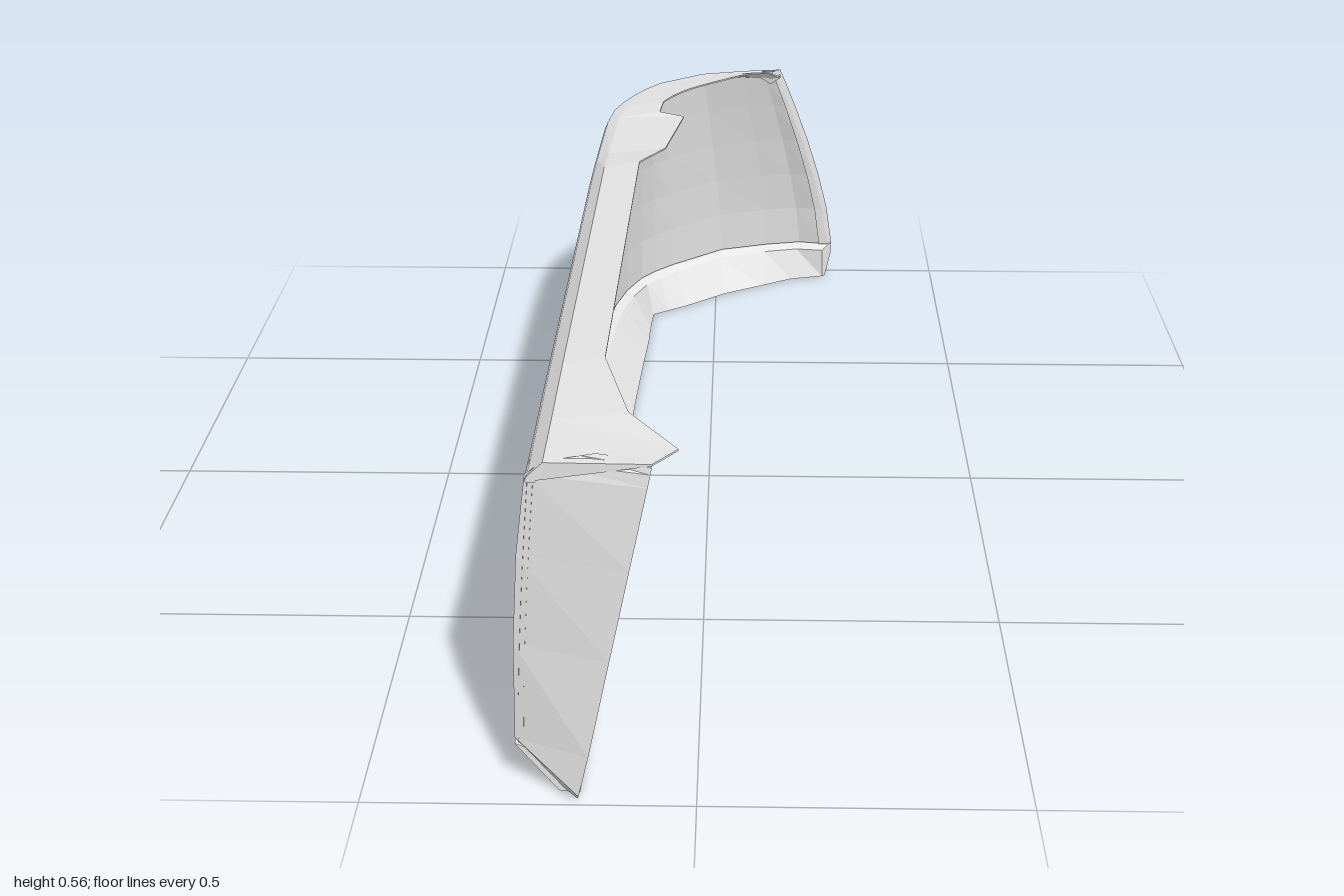
import * as THREE from 'three';

const BELT = 0.078, ROOF = 0.53;
const CORNER = new THREE.Vector2(-0.205, -0.81);

// Plan stations from front to rear: belt x,z | roof edge x,z | inner flange x,z
const STATIONS = [
  [-0.27, 0.957, -0.24, 0.957, -0.06, 0.985],
  [-0.27, 0.935, -0.24, 0.935, -0.025, 0.94],
  [-0.268, 0.83, -0.239, 0.83, -0.1, 0.83],
  [-0.266, 0.65, -0.238, 0.65, -0.145, 0.65],
  [-0.257, -0.2, -0.23, -0.2, -0.135, -0.2],
  [-0.254, -0.3, -0.228, -0.3, -0.09, -0.3],
  [-0.245, -0.5, -0.222, -0.5, -0.06, -0.5],
  [-0.243, -0.53, -0.22, -0.53, -0.11, -0.53],
  [-0.238, -0.62, -0.212, -0.6, -0.105, -0.6],
  [-0.223, -0.72, -0.196, -0.65, -0.09, -0.635],
  [-0.205, -0.81, -0.175, -0.7, -0.07, -0.67],
  [-0.16, -0.842, -0.15, -0.745, -0.052, -0.695],
  [-0.11, -0.875, -0.12, -0.785, -0.03, -0.72],
  [0.01, -0.955, -0.03, -0.85, 0.03, -0.775],
  [0.12, -0.985, 0.06, -0.872, 0.08, -0.815],
  [0.2, -0.998, 0.11, -0.88, 0.115, -0.835],
  [0.267, -0.985, 0.14, -0.88, 0.14, -0.855],
].map(([bx, bz, tx, tz, ix, iz]) => {
  const b = new THREE.Vector2(bx, bz);
  return {
    b, t: new THREE.Vector2(tx, tz), i: new THREE.Vector2(ix, iz),
    n: new THREE.Vector2(ix - bx, iz - bz).normalize(),
    // flange height steps down behind the front part and drops at the rear corner
    y: tz > -0.25 ? 0.565 : THREE.MathUtils.mapLinear(tz, -0.3, -0.85, 0.556, 0.544) - 0.55 * Math.max(0, tx - 0.1),
    // sill thins out at the rear end, wall thickens at the bend
    depth: 1 - 0.7 * (Math.max(0, bx) / 0.267) ** 2,
    extra: 0.045 * Math.exp(-b.distanceTo(CORNER) / 0.13),
  };
});

// Skin a list of equal cross-sections; closed ones get end caps
function loft(rows, closed) {
  const m = rows[0].length, pos = [], idx = [];
  rows.forEach(r => r.forEach(p => pos.push(...p)));
  for (let r = 0; r < rows.length - 1; r++) {
    for (let c = 0; c < (closed ? m : m - 1); c++) {
      const a = r * m + c, b = r * m + (c + 1) % m;
      idx.push(a, b, a + m, b, b + m, a + m);
    }
  }
  if (closed) {
    const e = (rows.length - 1) * m;
    for (let c = 1; c < m - 1; c++) idx.push(0, c + 1, c, e, e + c, e + c + 1);
  }
  const g = new THREE.BufferGeometry();
  g.setAttribute('position', new THREE.Float32BufferAttribute(pos, 3));
  g.setIndex(idx);
  const flat = g.toNonIndexed();
  flat.computeVertexNormals();
  return flat;
}

// Point on the bulging window surface at station s, height t, moved inward by d
function wall(s, t, d = 0) {
  const p = s.b.clone().lerp(s.t, Math.pow(t, 1.4)).addScaledVector(s.n, d);
  return [p.x, BELT + (ROOF - BELT) * t, p.y];
}

// Point moved inward from a plan position
function inset(p, n, d, y) {
  return [p.x + n.x * d, y, p.y + n.y * d];
}

// Station on the straight side at a given z
function stationAt(z) {
  const k = STATIONS.findIndex(s => s.b.y <= z), a = STATIONS[k - 1], c = STATIONS[k];
  const f = (a.b.y - z) / (a.b.y - c.b.y);
  return { b: a.b.clone().lerp(c.b, f), t: a.t.clone().lerp(c.t, f), n: new THREE.Vector2(1, 0) };
}

export function createModel() {
  const model = new THREE.Group();
  const grey = new THREE.MeshStandardMaterial({ color: 0xe6e6e6, flatShading: true, side: THREE.DoubleSide });
  grey.name = 'light grey';
  const add = (name, geometry) => {
    const mesh = new THREE.Mesh(geometry, grey);
    mesh.name = name;
    model.add(mesh);
  };
  const levels = [0, 0.2, 0.4, 0.6, 0.8, 0.92, 1];

  // Wrapped window: faceted outer skin and rounder inner skin
  add('windowOuter', loft(STATIONS.map(s => levels.map(t => wall(s, t, 0.006)))));
  add('windowInner', loft(STATIONS.map(s => levels.map(t => wall(s, t, 0.014 + s.extra * (1 - 0.5 * t))))));

  // Lower sill: undercut outside, narrow ledge and sloping face inside
  add('sill', loft(STATIONS.map(s => [
    inset(s.b, s.n, 0, BELT),
    inset(s.b, s.n, 0.002, 0.04 + 0.035 * s.depth),
    inset(s.b, s.n, 0.065 * s.depth, 0),
    inset(s.b, s.n, 0.097 * s.depth, 0),
    inset(s.b, s.n, 0.03 + s.extra, 0.066),
    inset(s.b, s.n, 0.012 + s.extra, 0.074),
  ]), true));

  // Roof rail with its inner flange
  add('roofRail', loft(STATIONS.map(s => [
    inset(s.t, s.n, 0, ROOF - 0.01),
    inset(s.t, s.n, 0.005, Math.min(ROOF, s.y)),
    inset(s.t, s.n, 0.028, s.y - 0.012),
    [s.i.x, s.y, s.i.y],
    [s.i.x, s.y - 0.003, s.i.y],
    inset(s.t, s.n, 0.03 + s.extra * 0.5, s.y - 0.018),
    inset(s.t, s.n, 0.016 + s.extra * 0.5, ROOF - 0.01),
  ]), true));

  // Front pillar, flat faced: height, outer x, inner x, front z of the inner edge
  const pillar = [
    [0, -0.205, -0.177, 0.985], [0.015, -0.218, -0.174, 1], [BELT + 0.007, -0.27, -0.158, 1],
    [0.25, -0.266, -0.124, 0.998], [0.4, -0.256, -0.093, 0.995],
    [ROOF, -0.239, -0.066, 0.99], [0.55, -0.212, -0.062, 0.988], [0.56, -0.16, -0.06, 0.986],
  ];
  add('frontPillar', loft(pillar.map(([y, xo, xi, z]) => [
    [xo, y, 0.952],
    [xi, y, z],
    [xi - 0.003, y, 0.966],
    [Math.min(xo + 0.02, xi - 0.006), y, 0.945],
  ]), true));

  // Rear edge frame following the end of the window
  const end = STATIONS[STATIONS.length - 1], prev = STATIONS[STATIONS.length - 2];
  const inner = { b: end.b.clone().lerp(prev.b, 0.3), t: end.t.clone().lerp(prev.t, 0.3), n: prev.n };
  add('rearPillar', loft(levels.map(t => [
    wall(end, t), wall(inner, t), wall(inner, t, 0.02), wall(end, t, 0.016),
  ]), true));

  // Slim upright seams on the side
  for (const z of [0.915, -0.523, -0.548]) {
    const a = stationAt(z + 0.003), b = stationAt(z - 0.003);
    add('windowSeam', loft(levels.map(t => [
      wall(a, t, 0.004), wall(b, t, 0.004), wall(b, t, 0.021), wall(a, t, 0.021),
    ]), true));
  }
  return model;
}
